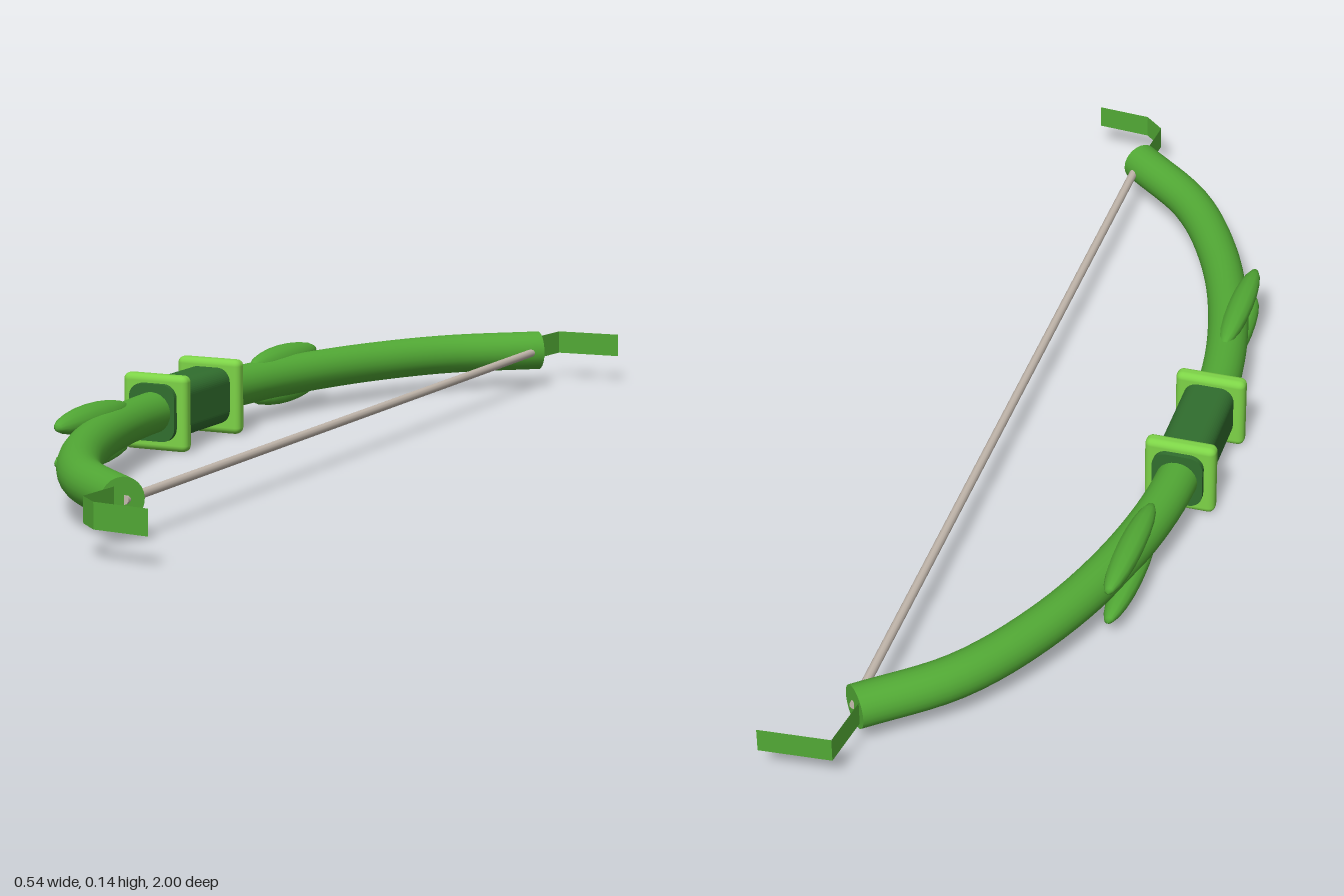
import * as THREE from 'three';
import { RoundedBoxGeometry } from 'three/addons/geometries/RoundedBoxGeometry.js';

const Y = 0.072; // height of the bow's plane
const CZ = -0.01; // middle of the bow along z

function material(name, color) {
  const m = new THREE.MeshStandardMaterial({ color });
  m.name = name;
  return m;
}

function roundedRect(w, h, r) {
  const s = new THREE.Shape();
  const x = w / 2 - r, y = h / 2 - r;
  s.absarc(x, y, r, 0, Math.PI / 2);
  s.absarc(-x, y, r, Math.PI / 2, Math.PI);
  s.absarc(-x, -y, r, Math.PI, Math.PI * 1.5);
  s.absarc(x, -y, r, Math.PI * 1.5, Math.PI * 2);
  s.closePath();
  return s;
}

// Upright strip following [x, z] points
function ribbonGeometry(points, y0, y1) {
  const pos = [], index = [];
  points.forEach(([x, z], i) => {
    pos.push(x, y0, z, x, y1, z);
    if (i) {
      const a = 2 * i - 2;
      index.push(a, a + 2, a + 1, a + 1, a + 2, a + 3);
    }
  });
  const g = new THREE.BufferGeometry();
  g.setAttribute('position', new THREE.Float32BufferAttribute(pos, 3));
  g.setIndex(index);
  const flat = g.toNonIndexed();
  flat.computeVertexNormals();
  return flat;
}

export function createModel() {
  const bow = new THREE.Group();
  bow.name = 'bow';
  const wood = material('leaf green', 0x52a935);
  wood.side = THREE.DoubleSide;
  const trim = material('light green', 0x7dd347);
  const wrap = material('dark green', 0x316e2e);
  const cord = material('warm grey', 0xc4b9ae);

  const add = (name, geometry, mat, x = 0, y = 0, z = 0) => {
    const mesh = new THREE.Mesh(geometry, mat);
    mesh.name = name;
    mesh.position.set(x, y, z);
    bow.add(mesh);
    return mesh;
  };

  // Curved limbs as one tube with capped ends
  const half = [[-0.198, 0.2], [-0.16, 0.4], [-0.09, 0.59], [0.005, 0.745], [0.143, 0.867]];
  const pts = [
    ...half.slice().reverse().map(([x, z]) => [x, -z]), [-0.203, 0], ...half,
  ].map(([x, z]) => new THREE.Vector3(x, Y, z + CZ));
  const curve = new THREE.CatmullRomCurve3(pts);
  add('limbs', new THREE.TubeGeometry(curve, 64, 0.038, 24), wood);
  for (const t of [0, 1]) {
    const p = curve.getPoint(t);
    const dir = curve.getTangent(t).multiplyScalar(t ? 1 : -1);
    const cap = add('limbCap', new THREE.CircleGeometry(0.038, 24), wood, p.x, p.y, p.z);
    cap.lookAt(p.clone().add(dir));
  }

  // Grip with a collar near each end
  const gripLength = 0.26;
  const grip = new THREE.ExtrudeGeometry(roundedRect(0.093, 0.105, 0.026),
    { depth: gripLength, bevelEnabled: false, curveSegments: 6 });
  add('grip', grip, wrap, -0.203, Y, CZ - gripLength / 2);
  for (const s of [-1, 1]) {
    add('collar', new RoundedBoxGeometry(0.13, 0.14, 0.03, 3, 0.012), trim,
      -0.204, 0.07, CZ + s * 0.105);
  }

  // Leaves above and below each limb
  for (const s of [-1, 1]) {
    for (const v of [-1, 1]) {
      const leaf = add('leaf', new THREE.SphereGeometry(1, 12, 10).rotateX(Math.PI / 2), wood,
        -0.187, Y + v * 0.032, CZ + s * 0.378);
      leaf.scale.set(0.027, 0.021, 0.13);
      leaf.rotation.z = -0.6;
      leaf.rotation.y = s * 0.02;
    }
  }

  // Bowstring
  add('string', new THREE.CylinderGeometry(0.008, 0.008, 1.73, 10).rotateX(Math.PI / 2), cord,
    0.145, Y, CZ);

  // Ribbons trailing from the tips
  add('frontRibbon', ribbonGeometry(
    [[0.135, 0.85], [0.127, 0.955], [0.165, 0.99], [0.267, 1]], 0.051, 0.095), wood);
  add('backRibbon', ribbonGeometry(
    [[0.127, -0.87], [0.142, -0.99], [0.267, -1]], 0.051, 0.095), wood);

  return bow;
}
